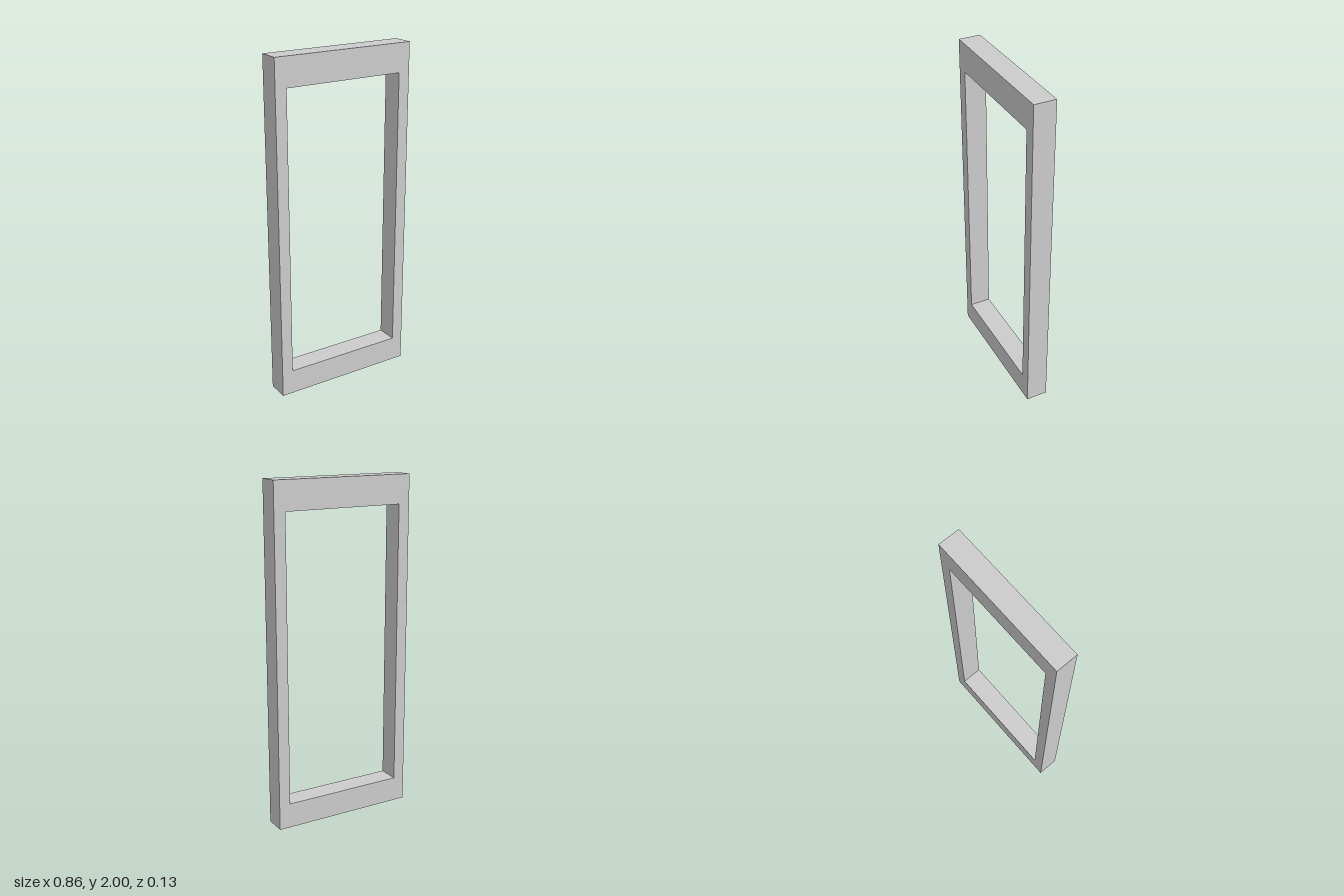
import * as THREE from 'three';

const HALF_WIDTH = 0.43, HEIGHT = 2, DEPTH = 0.128;
const OPENING = { halfWidth: 0.362, bottom: 0.148, top: 1.832 };

// Rectangle outline, usable as a shape or as a hole
function rectangle(path, halfWidth, bottom, top) {
  path.moveTo(-halfWidth, bottom);
  path.lineTo(halfWidth, bottom);
  path.lineTo(halfWidth, top);
  path.lineTo(-halfWidth, top);
  path.closePath();
  return path;
}

export function createModel() {
  const group = new THREE.Group();
  group.name = 'rectangularFrame';

  // One-piece frame: slim side stiles, deeper top and bottom rails
  const outline = rectangle(new THREE.Shape(), HALF_WIDTH, 0, HEIGHT);
  outline.holes.push(rectangle(new THREE.Path(), OPENING.halfWidth, OPENING.bottom, OPENING.top));
  const geometry = new THREE.ExtrudeGeometry(outline, { depth: DEPTH, bevelEnabled: false });
  geometry.translate(0, 0, -DEPTH / 2);

  const frame = new THREE.Mesh(geometry, new THREE.MeshStandardMaterial({ color: 0xcccccc }));
  frame.name = 'frame';
  group.add(frame);
  return group;
}
